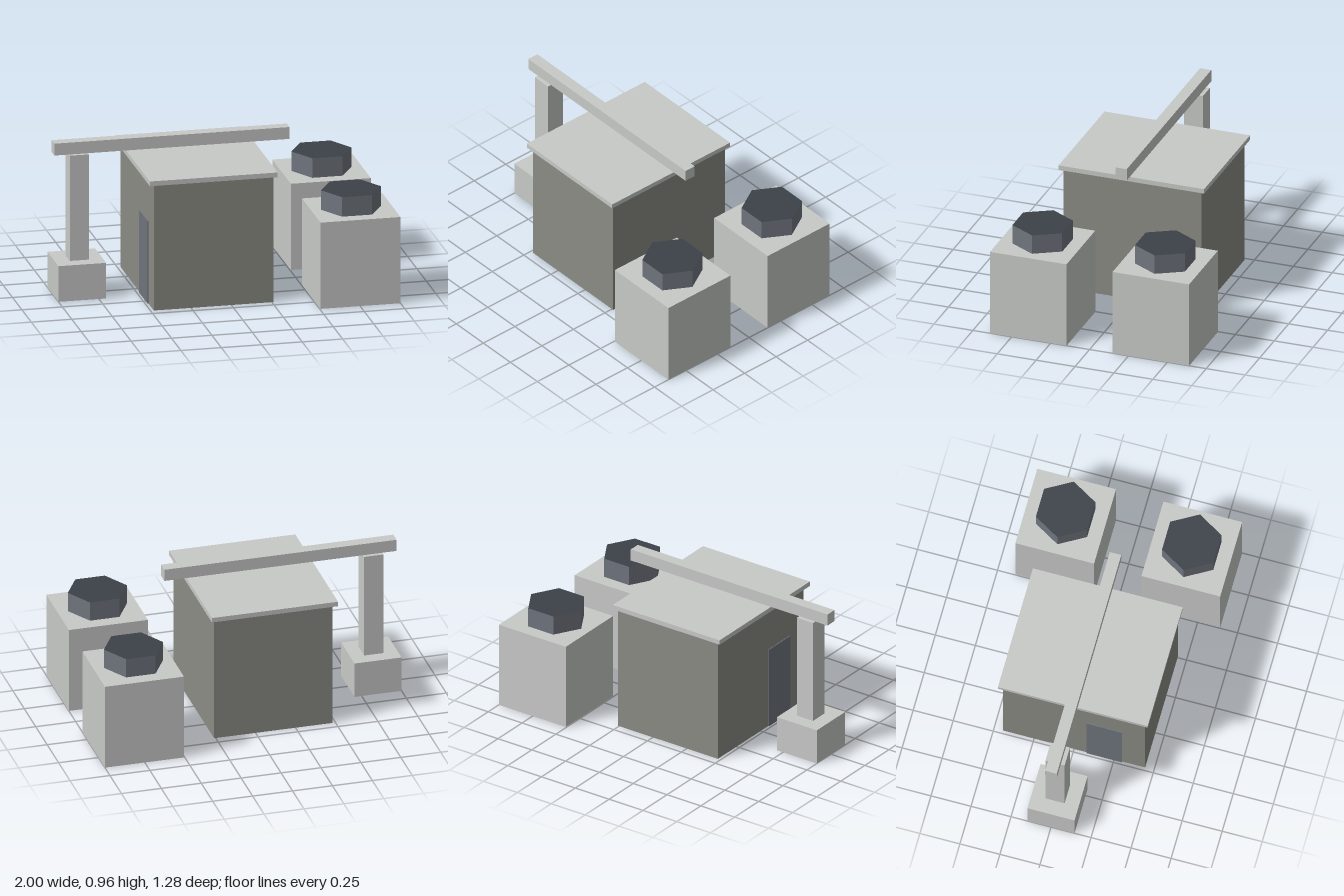
import * as THREE from 'three';

const mat = (name, color, side = THREE.FrontSide) => {
  const m = new THREE.MeshStandardMaterial({ color, side });
  m.name = name;
  return m;
};

export function createModel() {
  const group = new THREE.Group();
  group.name = 'industrialYard';

  const concrete = mat('pale grey', 0xc8cac8, THREE.DoubleSide);
  const wall = mat('olive grey', 0x8b8c84, THREE.DoubleSide);
  const slate = mat('slate grey', 0x6f747d);
  const dark = mat('dark slate', 0x3c4148);

  // Box given by its extents; open boxes have no bottom face
  const box = (name, material, [x0, x1], [y0, y1], [z0, z1], open = false) => {
    const geo = new THREE.BoxGeometry(x1 - x0, y1 - y0, z1 - z0);
    if (open) {
      const index = Array.from(geo.index.array);
      index.splice(18, 6);
      geo.setIndex(index);
      geo.clearGroups();
    }
    const mesh = new THREE.Mesh(geo, material);
    mesh.name = name;
    mesh.position.set((x0 + x1) / 2, (y0 + y1) / 2, (z0 + z1) / 2);
    group.add(mesh);
  };

  // Main building with overhanging roof and a door on its -x side
  box('building', wall, [-0.48, 0.26], [0, 0.795], [-0.444, 0.444], true);
  box('roof', concrete, [-0.51, 0.28], [0.795, 0.825], [-0.468, 0.468]);
  box('door', slate, [-0.486, -0.479], [0, 0.52], [0.08, 0.3]);

  // Crane: footing, mast and long beam over the roof
  box('craneFooting', concrete, [-1, -0.705], [0, 0.225], [-0.147, 0.147], true);
  box('craneMast', concrete, [-0.91, -0.79], [0.225, 0.89], [-0.06, 0.06]);
  box('craneBeam', concrete, [-1, 0.455], [0.89, 0.965], [-0.036, 0.036]);

  // Two square tanks with six-sided caps
  for (const s of [-1, 1]) {
    const z = s * 0.394;
    box('tank', concrete, [0.505, 1], [0, 0.545], [z - 0.246, z + 0.246], true);
    const geo = new THREE.CylinderGeometry(0.185, 0.185, 0.123, 6, 1, false, Math.PI / 2).toNonIndexed();
    geo.computeVertexNormals();
    const cap = new THREE.Mesh(geo, [slate, dark, dark]);
    cap.name = 'tankCap';
    cap.position.set(0.751, 0.6065, z);
    group.add(cap);
  }

  return group;
}
